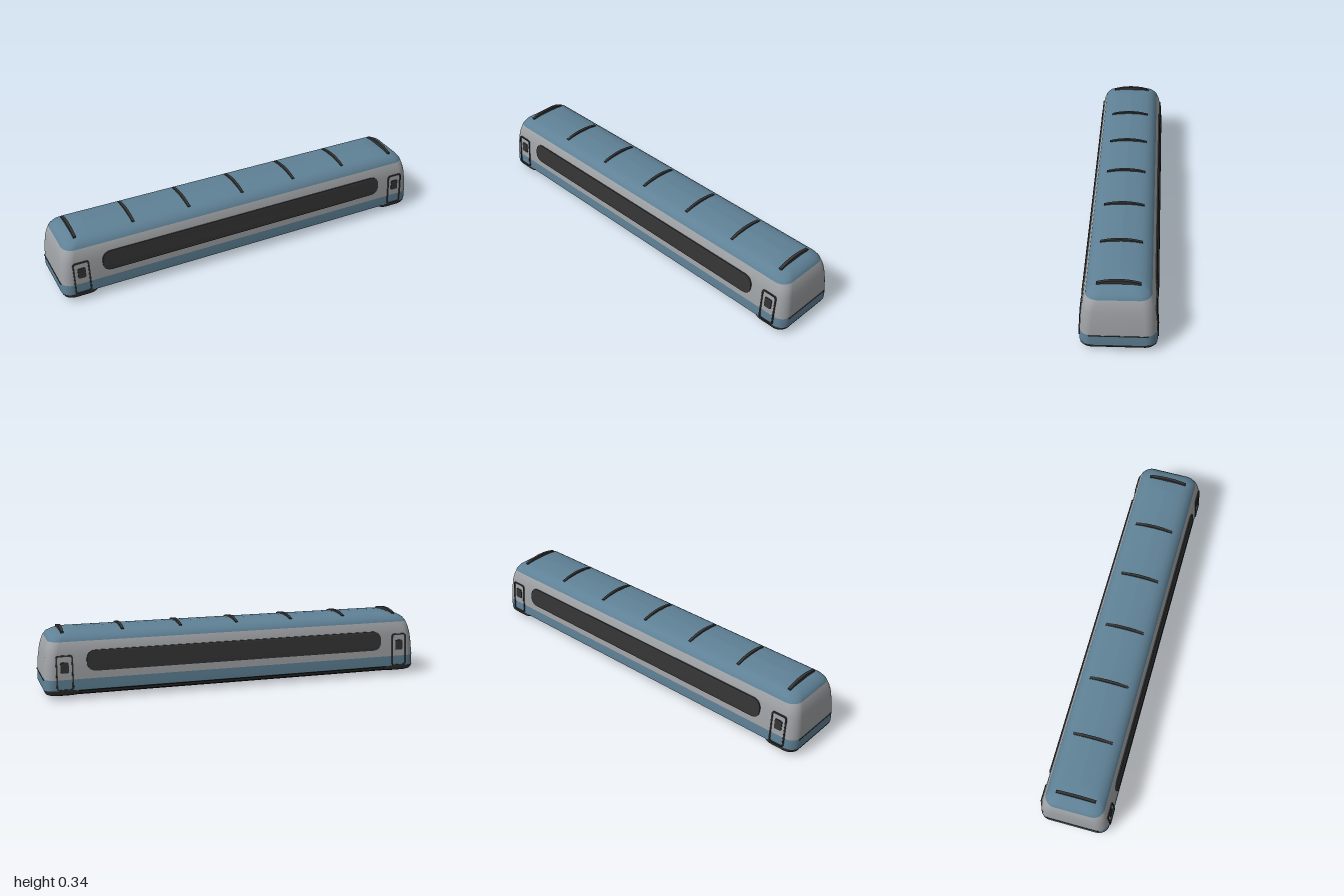
import * as THREE from 'three';

const mat = (name, color, side = THREE.FrontSide) => {
  const m = new THREE.MeshStandardMaterial({ color, side });
  m.name = name;
  return m;
};

// Shell levels: height, half length, half width
const SHELL = [
  [0.045, 0.997, 0.178], [0.07, 0.997, 0.178], [0.1, 0.996, 0.176], [0.16, 0.992, 0.173],
  [0.22, 0.984, 0.167], [0.25, 0.977, 0.16], [0.282, 0.966, 0.149], [0.3, 0.953, 0.136],
  [0.314, 0.93, 0.117], [0.322, 0.9, 0.095], [0.328, 0.86, 0.06], [0.331, 0.82, 0],
];

// Half width of the shell at a height
function halfWidth(y) {
  for (let i = 1; i < SHELL.length; i++) {
    const [y0, , w0] = SHELL[i - 1], [y1, , w1] = SHELL[i];
    if (y <= y1) return w0 + (w1 - w0) * Math.max(0, (y - y0) / (y1 - y0));
  }
  return 0;
}

// Stack of rounded rectangles, [y, half length, half width]; bands gives a material index per step
function loft(levels, radius, bands) {
  const pos = [], index = [], geo = new THREE.BufferGeometry(), seg = 8, n = 4 * (seg + 1);
  for (const [y, L, W] of levels) {
    const r = Math.min(radius, W, L);
    for (let k = 0; k < 4; k++) {
      const sx = k === 0 || k === 3 ? 1 : -1, sz = k < 2 ? 1 : -1;
      for (let i = 0; i <= seg; i++) {
        const a = (k + i / seg) * Math.PI / 2;
        pos.push(sx * (L - r) + r * Math.cos(a), y, sz * (W - r) + r * Math.sin(a));
      }
    }
  }
  for (let j = 0; j < levels.length - 1; j++) {
    geo.addGroup(index.length, n * 6, bands ? bands[j] : 0);
    for (let i = 0; i < n; i++) {
      const a = j * n + i, b = j * n + (i + 1) % n;
      index.push(a, a + n, b, b, a + n, b + n);
    }
  }
  geo.setAttribute('position', new THREE.Float32BufferAttribute(pos, 3));
  geo.setIndex(index);
  geo.computeVertexNormals();
  return geo;
}

// Rounded rectangle outline
function roundRect(path, x0, y0, x1, y1, r) {
  path.moveTo(x0 + r, y0);
  path.lineTo(x1 - r, y0);
  path.quadraticCurveTo(x1, y0, x1, y0 + r);
  path.lineTo(x1, y1 - r);
  path.quadraticCurveTo(x1, y1, x1 - r, y1);
  path.lineTo(x0 + r, y1);
  path.quadraticCurveTo(x0, y1, x0, y1 - r);
  path.lineTo(x0, y0 + r);
  path.quadraticCurveTo(x0, y0, x0 + r, y0);
  return path;
}

// Thin plate that follows the side wall
function wallPlate(shape, lift) {
  const geo = new THREE.ExtrudeGeometry(shape, { depth: 0.008, bevelEnabled: false, curveSegments: 8 });
  const p = geo.attributes.position;
  for (let i = 0; i < p.count; i++) p.setZ(i, p.getZ(i) - 0.008 + lift + halfWidth(p.getY(i)));
  geo.computeVertexNormals();
  return geo;
}

export function createModel() {
  const model = new THREE.Group();
  model.name = 'railCar';
  const grey = mat('bodyGrey', 0xa0a3a6);
  const blue = mat('trimBlue', 0x5f8196);
  const dark = mat('darkGrey', 0x343434);

  const add = (parent, name, geo, material, x = 0, y = 0, z = 0) => {
    const mesh = new THREE.Mesh(geo, material);
    mesh.name = name;
    mesh.position.set(x, y, z);
    parent.add(mesh);
    return mesh;
  };
  const box = (parent, name, w, h, d, x, y, z) =>
    add(parent, name, new THREE.BoxGeometry(w, h, d), dark, x, y, z);

  // Body shell: blue sill, grey walls, blue roof
  add(model, 'bodyShell', loft(SHELL, 0.055, [0, 0, 1, 1, 1, 1, 0, 0, 0, 0, 0]), [blue, grey]);

  // Floor and underframe
  add(model, 'floor', loft([[0.04, 0.96, 0], [0.04, 0.985, 0.168], [0.046, 0.996, 0.177]], 0.055), dark);
  add(model, 'underframe', loft([[0.017, 0.94, 0], [0.017, 0.94, 0.135], [0.024, 0.95, 0.148],
    [0.042, 0.95, 0.155]], 0.03), dark);
  box(model, 'centreKeel', 1.9, 0.016, 0.11, 0, 0.012, 0);
  for (const s of [-1, 1]) {
    box(model, 'underRail', 1.9, 0.018, 0.011, 0, 0.009, s * 0.075);
    for (const x of [-0.67, -0.41, 0.41, 0.67]) {
      const boss = add(model, 'underBoss', new THREE.SphereGeometry(1, 16, 10), dark, x, 0.017, s * 0.108);
      boss.scale.set(0.035, 0.008, 0.018);
    }
  }

  // Lowered skirts and ledges at both ends
  for (const s of [-1, 1]) {
    add(model, 'endSkirt', loft([[0.016, 0.05, 0], [0.016, 0.06, 0.135], [0.019, 0.078, 0.16],
      [0.025, 0.087, 0.172], [0.034, 0.092, 0.177], [0.048, 0.097, 0.179]], 0.05), dark, s * 0.9);
    box(model, 'endLedge', 0.004, 0.004, 0.27, s * 0.9965, 0.098, 0);
  }

  // Side windows and doors, repeated on the back by a half turn
  for (const turn of [0, Math.PI]) {
    const side = new THREE.Group();
    side.name = turn ? 'backSide' : 'frontSide';
    side.rotation.y = turn;
    model.add(side);

    const win = roundRect(new THREE.Shape(), -0.79, 0.137, 0.79, 0.238, 0.049);
    add(side, 'longWindow', wallPlate(win, 0.006), dark);

    for (const s of [-1, 1]) {
      const x = s * 0.898;
      const frame = roundRect(new THREE.Shape(), x - 0.042, 0.047, x + 0.042, 0.22, 0.016);
      frame.holes.push(roundRect(new THREE.Path(), x - 0.035, 0.053, x + 0.035, 0.213, 0.012));
      add(side, 'doorFrame', wallPlate(frame, 0.005), dark);
      const pane = roundRect(new THREE.Shape(), x - 0.02, 0.133, x + 0.02, 0.186, 0.008);
      add(side, 'doorWindow', wallPlate(pane, 0.004), dark);
    }
  }

  // Curved roof ribs
  const rib = new THREE.Shape();
  rib.moveTo(-0.1, 0.31);
  rib.lineTo(-0.1, 0.325);
  rib.quadraticCurveTo(0, 0.355, 0.1, 0.325);
  rib.lineTo(0.1, 0.31);
  const ribGeo = new THREE.ExtrudeGeometry(rib, { depth: 0.014, bevelEnabled: false, curveSegments: 16 });
  ribGeo.translate(0, 0, -0.007);
  ribGeo.rotateY(Math.PI / 2);
  for (let i = -3; i <= 3; i++) add(model, 'roofRib', ribGeo, dark, i * 0.298);

  return model;
}
